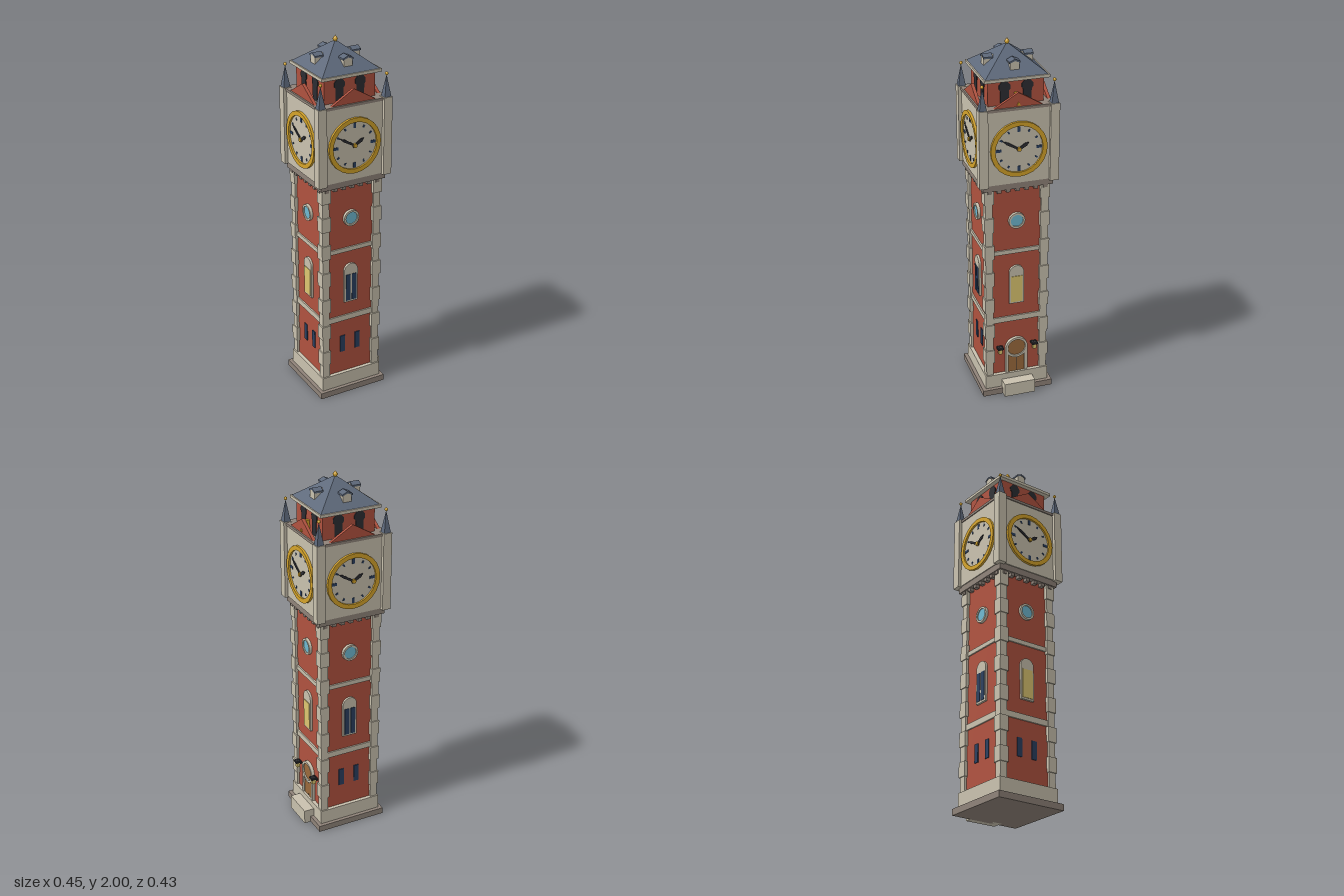
import * as THREE from 'three';

const mat = (name, color) => {
  const m = new THREE.MeshStandardMaterial({ color });
  m.name = name;
  return m;
};

export function createModel() {
  const brick = mat('brick red', 0xb0523f), stone = mat('pale stone', 0xc9c1ae);
  const darkStone = mat('dark stone', 0x8f8379), slate = mat('slate', 0x5d687a);
  const gold = mat('gold', 0xd4a32a), navy = mat('navy', 0x2a3f5f);
  const black = mat('charcoal', 0x2c2d32), glass = mat('sky glass', 0x6fb8d0);
  const lamp = mat('lamp yellow', 0xdcc670), wood = mat('door wood', 0x9a6a3c);

  const tower = new THREE.Group();
  tower.name = 'clockTower';
  tower.position.x = -0.013;

  const add = (parent, name, geo, m, x = 0, y = 0, z = 0) => {
    const mesh = new THREE.Mesh(geo, m);
    mesh.name = name;
    mesh.position.set(x, y, z);
    parent.add(mesh);
    return mesh;
  };
  // box given by its centre x, vertical range, and depth range
  const block = (p, name, m, x, w, y0, y1, z0, z1) =>
    add(p, name, new THREE.BoxGeometry(w, y1 - y0, z1 - z0), m, x, (y0 + y1) / 2, (z0 + z1) / 2);
  // square storey centred on the tower axis
  const storey = (name, m, half, y0, y1) => block(tower, name, m, 0, half * 2, y0, y1, -half, half);
  // four sided pyramid with flat faces
  const pyramid = (p, name, m, half, h, x, y, z) => {
    const g = new THREE.ConeGeometry(half * Math.SQRT2, h, 4, 1).rotateY(Math.PI / 4).toNonIndexed();
    g.computeVertexNormals();
    return add(p, name, g, m, x, y + h / 2, z);
  };
  // shape extruded from z0 to z1
  const slab = (p, name, m, shape, x, z0, z1) => {
    const g = new THREE.ExtrudeGeometry(shape, { depth: z1 - z0, bevelEnabled: false, curveSegments: 12 });
    return add(p, name, g, m, x, 0, z0);
  };
  const outline = points => new THREE.Shape(points.map(q => new THREE.Vector2(...q)));
  const arch = (r, y0, y1) => {
    const s = new THREE.Shape();
    s.moveTo(-r, y0);
    s.lineTo(r, y0);
    s.lineTo(r, y1 - r);
    s.absarc(0, y1 - r, r, 0, Math.PI, false);
    return s;
  };
  const disc = (p, name, m, r, y, z0, z1, n = 32) =>
    add(p, name, new THREE.CylinderGeometry(r, r, z1 - z0, n).rotateX(Math.PI / 2), m, 0, y, (z0 + z1) / 2);
  const ring = (p, name, m, r0, r1, y, z0, z1) => {
    const s = new THREE.Shape(), hole = new THREE.Path();
    s.absarc(0, 0, r1, 0, Math.PI * 2, false);
    hole.absarc(0, 0, r0, 0, Math.PI * 2, true);
    s.holes.push(hole);
    slab(p, name, m, s, 0, z0, z1).position.y = y;
  };

  // stacked storeys
  storey('baseSlab', darkStone, 0.2, 0, 0.035);
  storey('plinth', stone, 0.18, 0.035, 0.115);
  storey('brickShaft', brick, 0.16, 0.115, 1.25);
  storey('lowerBand', stone, 0.168, 0.442, 0.474);
  storey('upperBand', stone, 0.168, 0.86, 0.884);
  storey('cornice', darkStone, 0.19, 1.25, 1.285);
  storey('clockRoom', stone, 0.195, 1.285, 1.685);
  storey('clockRoomCap', darkStone, 0.2, 1.685, 1.7);
  storey('belfry', brick, 0.147, 1.7, 1.83);
  storey('eaves', stone, 0.172, 1.83, 1.846);
  pyramid(tower, 'roof', slate, 0.165, 0.13, 0, 1.846, 0);

  // finial on the roof peak
  const finial = [[0, 1.96], [0.012, 1.963], [0.008, 1.972], [0.014, 1.98], [0.009, 1.988], [0, 2]];
  add(tower, 'finial', new THREE.LatheGeometry(finial.map(q => new THREE.Vector2(...q)), 8), gold);

  // corners: quoins, piers and pinnacles
  for (const sx of [-1, 1]) for (const sz of [-1, 1]) {
    const n = 14, h = 1.135 / n;
    for (let i = 0; i < n; i++) {
      const w = i % 2 ? 0.052 : 0.04, y = 0.115 + i * h, z = sz * 0.153;
      block(tower, 'quoin', stone, sx * 0.153, w, y, y + h, z - w / 2, z + w / 2);
    }
    const c = 0.189;
    block(tower, 'cornerPier', stone, sx * c, 0.048, 1.28, 1.702, sz * c - 0.024, sz * c + 0.024);
    pyramid(tower, 'pinnacle', slate, 0.019, 0.115, sx * c, 1.702, sz * c);
    add(tower, 'pinnacleBall', new THREE.SphereGeometry(0.009, 8, 6), gold, sx * c, 1.823, sz * c);
  }

  // the four faces, each built facing +z and turned into place
  for (let k = 0; k < 4; k++) {
    const f = new THREE.Group();
    f.name = ['frontFace', 'leftFace', 'backFace', 'rightFace'][k];
    f.rotation.y = k * Math.PI / 2;
    tower.add(f);

    // tall arched window
    slab(f, 'windowSurround', stone, arch(0.041, 0.555, 0.785), 0, 0.155, 0.172);
    if (k % 2) block(f, 'litPane', lamp, 0, 0.064, 0.565, 0.722, 0.17, 0.175);
    else for (const s of [-1, 1]) block(f, 'darkPane', navy, s * 0.018, 0.027, 0.565, 0.722, 0.17, 0.175);

    // round window
    ring(f, 'roundWindowFrame', stone, 0.034, 0.045, 1.055, 0.155, 0.176);
    disc(f, 'roundWindowGlass', glass, 0.035, 1.055, 0.158, 0.17, 20);

    // corbels under the cornice
    for (let i = -3; i <= 3; i++) block(f, 'corbel', darkStone, i * 0.05, 0.022, 1.232, 1.252, 0.155, 0.184);

    // clock
    const cy = 1.475;
    ring(f, 'clockRim', gold, 0.127, 0.151, cy, 0.19, 0.208);
    disc(f, 'clockDial', stone, 0.128, cy, 0.19, 0.198, 40);
    for (let i = 0; i < 12; i++) {
      const a = i * Math.PI / 6, big = i % 3 === 0, r = 0.108;
      const mark = add(f, 'hourMark', new THREE.BoxGeometry(big ? 0.015 : 0.009, big ? 0.028 : 0.014, 0.003),
        navy, Math.sin(a) * r, cy + Math.cos(a) * r, 0.199);
      mark.rotation.z = -a;
    }
    for (const [name, a, len, w] of [['hourHand', 1.02, 0.062, 0.018], ['minuteHand', -1.04, 0.104, 0.014]]) {
      const hand = slab(f, name, black, outline(
        [[-w / 3, -0.012], [w / 3, -0.012], [w / 2, len * 0.7], [0, len], [-w / 2, len * 0.7]]), 0, 0.2, 0.205);
      hand.position.y = cy;
      hand.rotation.z = -a;
    }
    disc(f, 'clockHub', gold, 0.011, cy, 0.198, 0.211, 12);

    // gable standing on the clock room
    slab(f, 'gable', brick, outline([[-0.127, 1.7], [0.127, 1.7], [0, 1.775]]), 0, 0.174, 0.191);

    // belfry openings
    for (const s of [-1, 1]) slab(f, 'belfryOpening', black, outline(
      [[-0.022, 1.7], [0.022, 1.7], [0.022, 1.775], [0.03, 1.785], [0.03, 1.805], [0.014, 1.825],
        [-0.014, 1.825], [-0.03, 1.805], [-0.03, 1.785], [-0.022, 1.775]]), s * 0.06, 0.145, 0.151);

    // dormer
    slab(f, 'dormerBody', stone, outline(
      [[-0.024, 1.865], [0.024, 1.865], [0.024, 1.91], [0, 1.92], [-0.024, 1.91]]), 0, 0.07, 0.13);
    slab(f, 'dormerRoof', slate, outline(
      [[-0.029, 1.907], [0, 1.919], [0.029, 1.907], [0.029, 1.916], [0, 1.929], [-0.029, 1.916]]), 0, 0.0825, 0.1325);

    if (k !== 1) {
      // narrow slit windows
      for (const s of [-1, 1]) block(f, 'slitWindow', navy, s * 0.046, 0.03, 0.245, 0.345, 0.157, 0.165);
      continue;
    }

    // entrance with step and lanterns
    block(f, 'doorStep', stone, 0, 0.176, 0, 0.08, 0.17, 0.237);
    ring(f, 'doorArchRing', stone, 0.05, 0.063, 0.272, 0.155, 0.178);
    disc(f, 'doorRoundel', wood, 0.051, 0.272, 0.155, 0.17);
    block(f, 'doorLeaf', wood, 0, 0.094, 0.115, 0.23, 0.155, 0.168);
    block(f, 'doorSeam', black, 0, 0.003, 0.115, 0.212, 0.166, 0.169);
    for (const s of [-1, 1]) {
      block(f, 'doorJamb', stone, s * 0.055, 0.016, 0.115, 0.272, 0.155, 0.175);
      block(f, 'lanternBracket', black, s * 0.098, 0.008, 0.27, 0.28, 0.155, 0.18);
      block(f, 'lanternLight', lamp, s * 0.098, 0.02, 0.257, 0.288, 0.176, 0.196);
      block(f, 'lanternCap', black, s * 0.098, 0.034, 0.286, 0.296, 0.169, 0.203);
      pyramid(f, 'lanternTop', black, 0.012, 0.012, s * 0.098, 0.296, 0.186);
    }
    // gilded ornament at the entrance gable
    block(f, 'gableOrnament', gold, 0, 0.02, 1.705, 1.765, 0.15, 0.173);
    slab(f, 'gableBadge', gold, outline([[-0.01, 1.708], [0.01, 1.708], [0, 1.725]]), 0, 0.19, 0.196);
  }

  const model = new THREE.Group();
  model.name = 'model';
  model.add(tower);
  return model;
}
